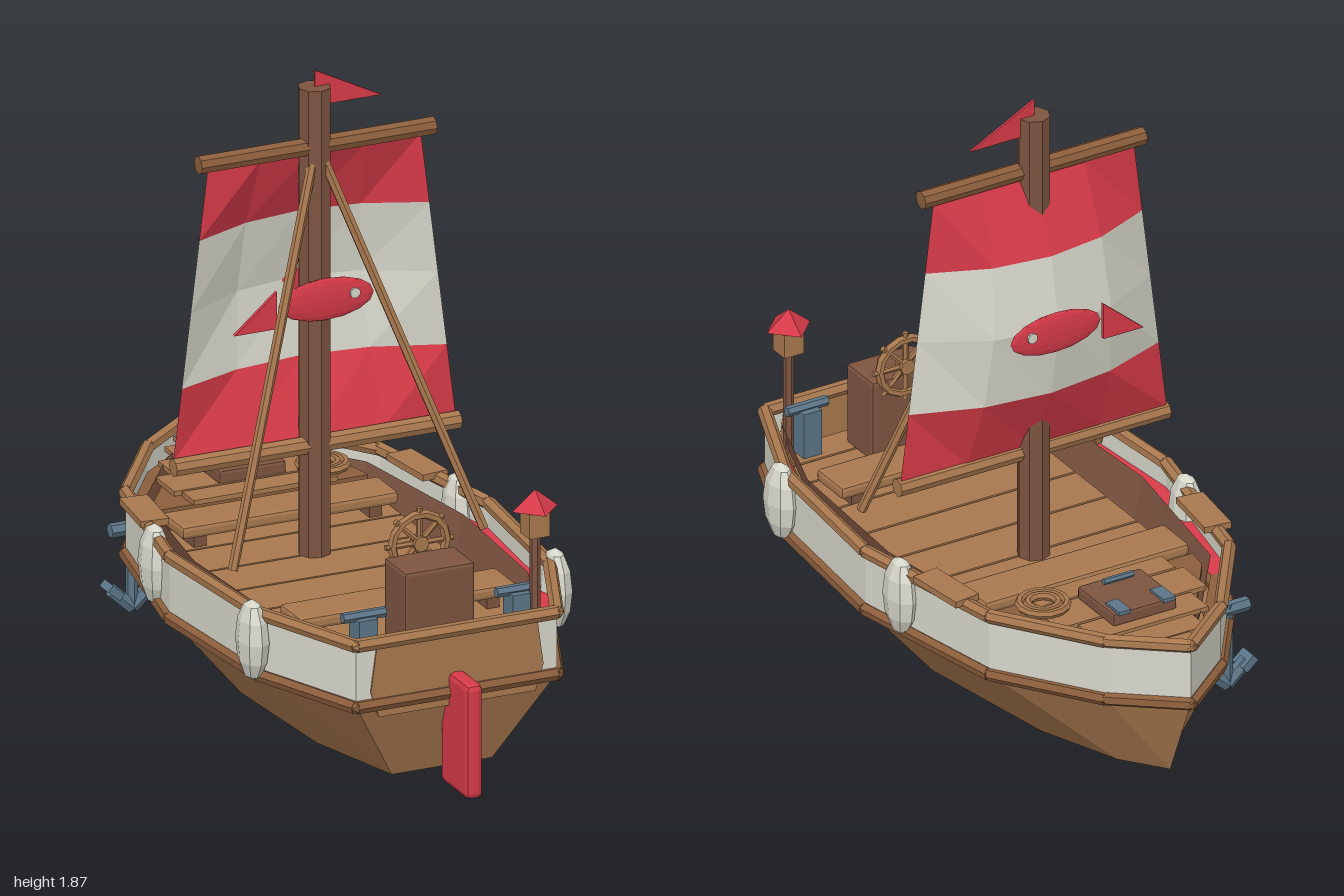
import * as THREE from 'three';
import { RoundedBoxGeometry } from 'three/addons/geometries/RoundedBoxGeometry.js';

const mat = (name, color) => new THREE.MeshStandardMaterial({ name, color, flatShading: true, side: THREE.DoubleSide });
const V = (x, y, z) => new THREE.Vector3(x, y, z);

// Half outlines from bow to stern, as [x, z]
const SHEER = [[0, -0.975], [0.195, -0.82], [0.405, -0.52], [0.508, 0], [0.465, 0.51], [0.32, 0.87]];
const KEEL = [[0, -0.86], [0.1, -0.73], [0.2, -0.47], [0.28, 0], [0.25, 0.45], [0.16, 0.77]];
const LEDGE = [[0, -0.91], [0.155, -0.775], [0.355, -0.5], [0.43, 0], [0.405, 0.49], [0.29, 0.83]];
const FLOOR = [[0, -0.86], [0.13, -0.74], [0.31, -0.49], [0.38, 0], [0.355, 0.48], [0.26, 0.8]];

// Mirrors a half outline into a closed loop
const loop = h => [...h, ...h.slice(1).reverse().map(([x, z]) => [-x, z])];

// Quads between two loops; skips the segments that keep() rejects
function loft(a, ya, b, yb, keep = () => true) {
  const pos = [], n = a.length;
  for (let i = 0; i < n; i++) {
    if (!keep(i)) continue;
    const j = (i + 1) % n;
    const p = (l, k, y) => [l[k][0], y, l[k][1]];
    const a0 = p(a, i, ya), a1 = p(a, j, ya), b0 = p(b, i, yb), b1 = p(b, j, yb);
    pos.push(...a0, ...b0, ...b1, ...a0, ...b1, ...a1);
  }
  const g = new THREE.BufferGeometry();
  g.setAttribute('position', new THREE.Float32BufferAttribute(pos, 3));
  g.computeVertexNormals();
  return g;
}

// Flat plate with an [x, z] outline
function plate(outline, y, h) {
  const s = new THREE.Shape(outline.map(([x, z]) => new THREE.Vector2(x, -z)));
  return new THREE.ExtrudeGeometry(s, { depth: h, bevelEnabled: false }).rotateX(-Math.PI / 2).translate(0, y, 0);
}

export function createModel() {
  const root = new THREE.Group();
  root.name = 'sailboat';
  const wood = mat('tan wood', 0xa8784e);
  const trim = mat('brown trim', 0x8c5e3c);
  const dark = mat('dark wood', 0x7d5440);
  const red = mat('red', 0xd63a48);
  const white = mat('off white', 0xd6d6ca);
  const steel = mat('blue grey metal', 0x5c7688);

  const add = (name, geo, m, x = 0, y = 0, z = 0) => {
    const o = new THREE.Mesh(geo, m);
    o.name = name;
    o.position.set(x, y, z);
    root.add(o);
    return o;
  };
  const box = (name, m, w, h, d, x, y, z, r = 0) =>
    add(name, r ? new RoundedBoxGeometry(w, h, d, 1, r) : new THREE.BoxGeometry(w, h, d), m, x, y, z);
  // Round bar between two points
  const bar = (name, m, a, b, r, sides = 8) => {
    const d = b.clone().sub(a);
    const o = add(name, new THREE.CylinderGeometry(r, r, d.length(), sides), m);
    o.position.copy(a).addScaledVector(d, 0.5);
    o.quaternion.setFromUnitVectors(V(0, 1, 0), d.normalize());
    return o;
  };
  const extrude = (pts, depth) => new THREE.ExtrudeGeometry(
    new THREE.Shape(pts.map(p => new THREE.Vector2(...p))), { depth, bevelEnabled: false });

  // Hull shell, painted band, and inside walls with a red gutter behind them
  const sheer = loop(SHEER), keel = loop(KEEL), ledge = loop(LEDGE), floor = loop(FLOOR);
  const notStern = i => i !== 5;
  const sides = i => [2, 3, 4, 6, 7, 8].includes(i);
  add('hull', loft(keel, 0.03, sheer, 0.3), wood);
  add('hullBottom', plate(keel, 0.03, 0.01), wood);
  add('hullBand', loft(sheer, 0.3, sheer, 0.49), white);
  add('insideWall', loft(ledge, 0.465, floor, 0.27, notStern), dark);
  add('redGutter', loft(sheer, 0.41, ledge, 0.4, sides), red);
  add('bowGutter', loft(sheer, 0.41, ledge, 0.4, i => notStern(i) && !sides(i)), trim);
  add('floor', plate(floor, 0.265, 0.015), dark);
  add('transomBoard', extrude([[-0.25, 0.26], [0.25, 0.26], [0.275, 0.34], [0.255, 0.485], [-0.255, 0.485], [-0.275, 0.34]], 0.006), wood, 0, 0, 0.869);

  // Rails run round the hull above and below the band
  for (const [y, m, name] of [[0.49, wood, 'topRail'], [0.3, trim, 'lowerRail']])
    sheer.forEach(([x, z], i) => {
      const [x2, z2] = sheer[(i + 1) % sheer.length];
      bar(name, m, V(x, y, z), V(x2, y, z2), 0.021, 6);
      add(name + 'Joint', new THREE.IcosahedronGeometry(0.021, 0), m, x, y, z);
    });

  // Deck planks, narrowing at the stern
  for (let i = 0; i < 6; i++) box('deckPlank', wood, 0.71, 0.03, 0.164, 0, 0.37, -0.35 + i * 0.172);
  add('sternPlank', plate([[-0.355, 0.6], [0.355, 0.6], [0.325, 0.7], [-0.325, 0.7]], 0.355, 0.03), wood);
  add('sternPlank', plate([[-0.32, 0.708], [0.32, 0.708], [0.285, 0.81], [-0.285, 0.81]], 0.355, 0.03), wood);

  // Raised bow deck and benches
  add('bowDeck', plate(loop([[0, -0.89], [0.14, -0.765], [0.32, -0.51], [0.33, -0.44]]), 0.43, 0.02), trim);
  for (const [w, z, d] of [[0.46, -0.47, 0.08], [0.5, -0.585, 0.13], [0.38, -0.71, 0.1], [0.25, -0.815, 0.08], [0.13, -0.89, 0.06]])
    box('bowPlank', wood, w, 0.015, d, 0, 0.458, z);
  for (const z of [-0.33, 0.47]) {
    box('bench', wood, 0.69, 0.04, 0.145, 0, 0.44, z, 0.012);
    for (const s of [-1, 1]) box('benchLeg', dark, 0.04, 0.05, 0.1, s * 0.28, 0.405, z);
  }

  // Mast, yards, stays and pennant
  bar('mast', dark, V(0, 0.29, -0.1), V(0, 1.83, -0.1), 0.049);
  bar('topYard', trim, V(-0.375, 1.65, -0.09), V(0.375, 1.65, -0.09), 0.028);
  bar('lowerYard', wood, V(-0.455, 0.725, -0.09), V(0.455, 0.725, -0.09), 0.028);
  for (const s of [-1, 1]) bar('stay', wood, V(s * 0.01, 1.63, -0.08), V(s * 0.4, 0.5, 0.2), 0.015, 6);
  add('pennant', extrude([[0, 1.88], [0, 1.77], [0.213, 1.77]], 0.008), red, 0, 0, -0.104);

  // Bellied sail in striped bands
  const rows = [[0.74, 0], [0.96, 0.1], [1.19, 0.14], [1.41, 0.1], [1.63, 0]];
  rows.slice(0, -1).forEach((row, k) => {
    const g = new THREE.PlaneGeometry(2, 1, 4, 1), p = g.attributes.position;
    for (let i = 0; i < p.count; i++) {
      const [y, belly] = p.getY(i) < 0 ? row : rows[k + 1], u = p.getX(i);
      p.setXYZ(i, u * (0.45 - (y - 0.74) * 0.124), y, -0.1 - belly * (1 - u * u));
    }
    g.computeVertexNormals();
    add(k === 0 || k === 3 ? 'sailRedStripe' : 'sailWhiteStripe', g, k === 0 || k === 3 ? red : white);
  });

  // Fish emblem on each side of the sail
  for (const [z, s] of [[-0.05, 1], [-0.245, -1]]) {
    add('fishBody', new THREE.SphereGeometry(1, 14, 8).scale(0.152, 0.065, 0.014), red, 0.014, 1.185, z);
    add('fishTail', extrude([[-0.28, 1.12], [-0.145, 1.12], [-0.145, 1.235]], 0.012), red, 0, 0, z - 0.006);
    add('fishEye', new THREE.CylinderGeometry(0.016, 0.016, 0.008, 10).rotateX(Math.PI / 2), white, 0.1, 1.195, z + s * 0.013);
  }

  // Steering stand and wheel
  box('helmStand', dark, 0.225, 0.265, 0.15, 0, 0.508, 0.685, 0.012);
  add('wheelRim', new THREE.TorusGeometry(0.087, 0.014, 6, 14), wood, 0, 0.668, 0.615);
  add('wheelHub', new THREE.CylinderGeometry(0.024, 0.024, 0.035, 8).rotateX(Math.PI / 2), wood, 0, 0.668, 0.615);
  for (let i = 0; i < 4; i++) {
    const a = i * Math.PI / 4, x = Math.cos(a) * 0.108, y = Math.sin(a) * 0.108;
    bar('wheelSpoke', wood, V(-x, 0.668 - y, 0.615), V(x, 0.668 + y, 0.615), 0.009, 6);
  }

  // Lantern and rudder
  bar('lanternPost', dark, V(0.285, 0.38, 0.795), V(0.285, 0.72, 0.795), 0.016, 6);
  box('lantern', wood, 0.065, 0.08, 0.065, 0.285, 0.75, 0.795);
  add('lanternRoof', new THREE.ConeGeometry(0.073, 0.06, 4), red, 0.285, 0.82, 0.795);
  box('rudder', red, 0.054, 0.355, 0.188, 0, 0.183, 0.906, 0.018);

  for (const s of [-1, 1]) {
    // Fenders, side steps and mooring cleats
    for (const z of [0.51, -0.155])
      add('fender', new THREE.SphereGeometry(1, 8, 6).scale(0.045, 0.125, 0.07), white, s * 0.483, 0.41, z);
    box('sideStep', wood, 0.085, 0.02, 0.2, s * 0.435, 0.502, -0.33).rotation.y = s * 0.12;
    bar('cleatBar', steel, V(s * 0.245 - 0.068, 0.535, 0.76), V(s * 0.245 + 0.068, 0.535, 0.76), 0.016, 6);
    box('cleatBase', steel, 0.06, 0.15, 0.07, s * 0.245, 0.455, 0.76);
    box('hatchHinge', steel, 0.04, 0.012, 0.075, s * 0.075, 0.507, -0.695);
  }

  // Bow hatch and coiled rope
  box('hatch', dark, 0.215, 0.045, 0.205, 0, 0.482, -0.62, 0.01);
  bar('hatchHandle', steel, V(-0.05, 0.525, -0.57), V(0.05, 0.525, -0.57), 0.01, 6);
  for (const r of [0.07, 0.045])
    add('ropeCoil', new THREE.TorusGeometry(r, 0.013, 6, 14).rotateX(Math.PI / 2), wood, 0.22, 0.478, -0.515);

  // Anchor hung beside the bow
  const ax = -0.345, az = -0.607;
  bar('anchorShank', steel, V(ax, 0.09, az), V(ax, 0.36, az), 0.018, 6);
  bar('anchorStock', steel, V(ax - 0.07, 0.34, az), V(ax + 0.07, 0.34, az), 0.022, 6);
  for (const s of [-1, 1]) {
    bar('anchorArm', steel, V(ax, 0.095, az), V(ax + s * 0.065, 0.155, az), 0.022, 6);
    box('anchorFluke', steel, 0.025, 0.05, 0.06, ax + s * 0.062, 0.155, az).rotation.z = -s * 0.85;
  }
  return root;
}
